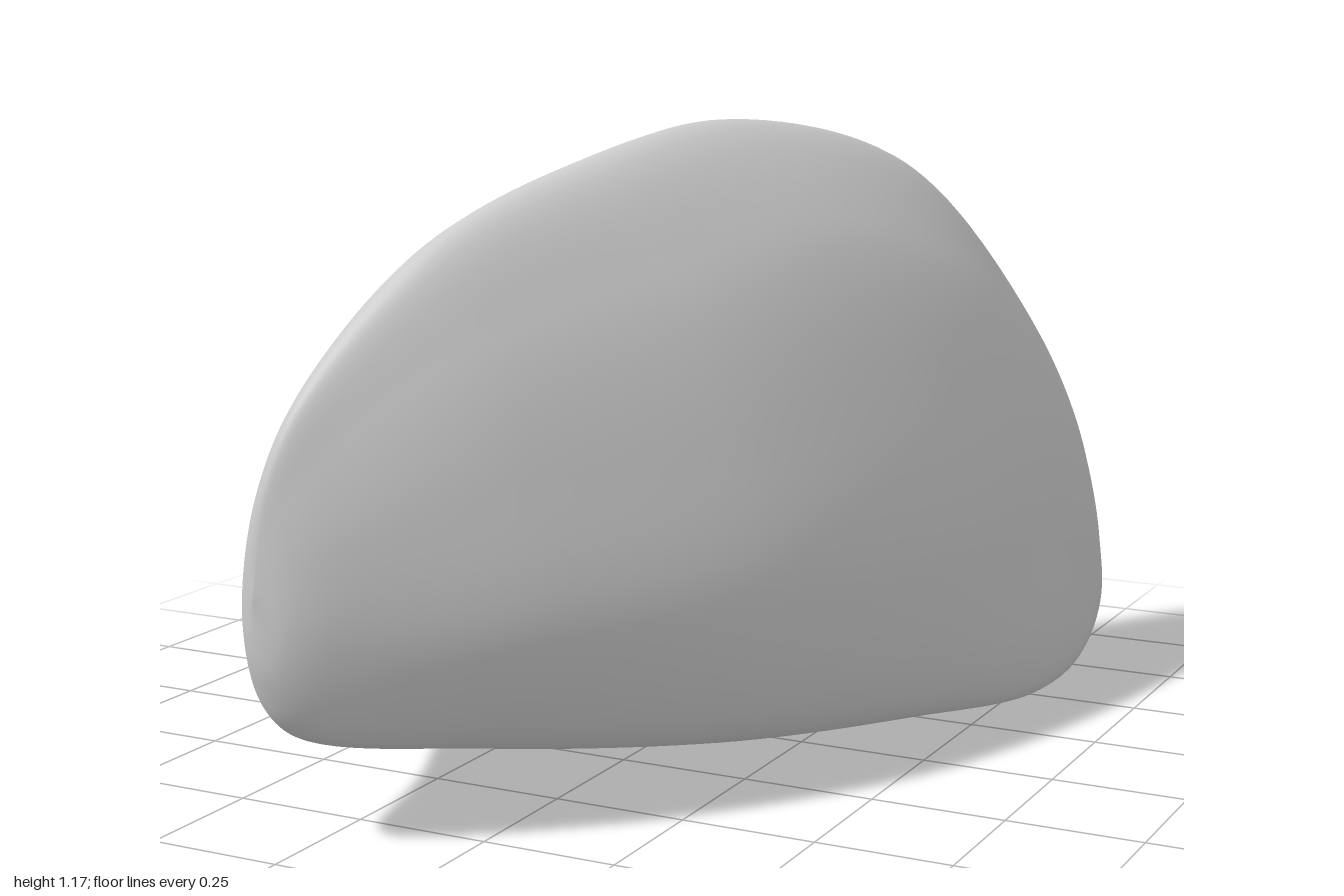
import * as THREE from 'three';
import { mergeVertices } from 'three/addons/utils/BufferGeometryUtils.js';

// Cross-sections from back to front, each a ring of x,y pairs: top rim, outer upper, outer middle,
// outer lower, bottom rim, underside, low inner corner, inner peak, inner upper
const SECTIONS = [
  { z: -0.95, ring: [0.43, 0.51, 0.47, 0.47, 0.5, 0.38, 0.525, 0.25, 0.53, 0.12, 0.505, 0.1, 0.46, 0.15, 0.415, 0.27, 0.405, 0.42] },
  { z: -0.8, ring: [0.335, 0.81, 0.43, 0.7, 0.505, 0.5, 0.55, 0.25, 0.55, 0.04, 0.51, 0.025, 0.41, 0.12, 0.33, 0.32, 0.3, 0.6] },
  { z: -0.5, ring: [0.22, 1.08, 0.385, 0.88, 0.49, 0.62, 0.55, 0.33, 0.55, 0.02, 0.43, 0.035, 0.25, 0.14, 0.12, 0.38, 0.115, 0.77] },
  { z: -0.1, ring: [0.055, 1.178, 0.27, 1.0, 0.42, 0.68, 0.5, 0.35, 0.465, 0.07, 0.28, 0.08, -0.07, 0.175, -0.26, 0.38, -0.11, 0.83] },
  { z: 0.35, ring: [-0.02, 1.13, 0.16, 0.95, 0.295, 0.65, 0.355, 0.36, 0.28, 0.12, 0.0, 0.135, -0.4, 0.215, -0.568, 0.37, -0.29, 0.79] },
  { z: 0.7, ring: [-0.115, 1.01, 0.0, 0.86, 0.08, 0.63, 0.11, 0.36, 0.0, 0.165, -0.16, 0.17, -0.34, 0.215, -0.45, 0.38, -0.33, 0.73] },
  { z: 0.92, ring: [-0.22, 0.79, -0.17, 0.7, -0.125, 0.55, -0.125, 0.37, -0.2, 0.22, -0.26, 0.205, -0.32, 0.25, -0.355, 0.4, -0.31, 0.64] },
];
const BACK = new THREE.Vector3(0.46, 0.28, -1);
const FRONT = new THREE.Vector3(-0.28, 0.46, 1);

const toPoints = ({ z, ring }) =>
  Array.from({ length: 9 }, (_, i) => new THREE.Vector3(ring[2 * i], ring[2 * i + 1], z));

// A narrowed copy of an end section that rounds off the tip
const cap = (points, tip, sx, sy, z) =>
  points.map((p) => new THREE.Vector3(tip.x + (p.x - tip.x) * sx, tip.y + (p.y - tip.y) * sy, z));

function loftGeometry(around = 108, along = 120) {
  const rows = SECTIONS.map(toPoints);
  const first = rows[0];
  const last = rows[rows.length - 1];
  rows.unshift(first.map(() => BACK), cap(first, BACK, 0.52, 0.55, -0.987));
  rows.push(cap(last, FRONT, 0.43, 0.6, 0.982), last.map(() => FRONT));

  // Lengthwise curves, then a closed curve around each station
  const rails = first.map((_, i) => new THREE.CatmullRomCurve3(rows.map((r) => r[i])));
  const positions = [];
  const index = [];
  for (let i = 0; i <= along; i++) {
    const loop = new THREE.CatmullRomCurve3(rails.map((rail) => rail.getPoint(i / along)), true);
    const tip = i === 0 ? BACK : i === along ? FRONT : null;
    for (let j = 0; j < around; j++) {
      const p = tip || loop.getPoint(j / around);
      positions.push(p.x, p.y, p.z);
      if (i === along) continue;
      const a = i * around + j;
      const b = i * around + ((j + 1) % around);
      if (i < along - 1) index.push(a, a + around, b + around);
      if (i > 0) index.push(a, b + around, b);
    }
  }
  const geometry = new THREE.BufferGeometry();
  geometry.setAttribute('position', new THREE.Float32BufferAttribute(positions, 3));
  geometry.setIndex(index);

  // Weld the tips so the shading stays smooth
  const welded = mergeVertices(geometry, 1e-5);
  welded.computeVertexNormals();
  return welded;
}

export function createModel() {
  const group = new THREE.Group();
  group.name = 'curvedShell';
  const body = new THREE.Mesh(
    loftGeometry(),
    new THREE.MeshStandardMaterial({ color: 0xcccccc })
  );
  body.name = 'shellBody';
  group.add(body);
  return group;
}
